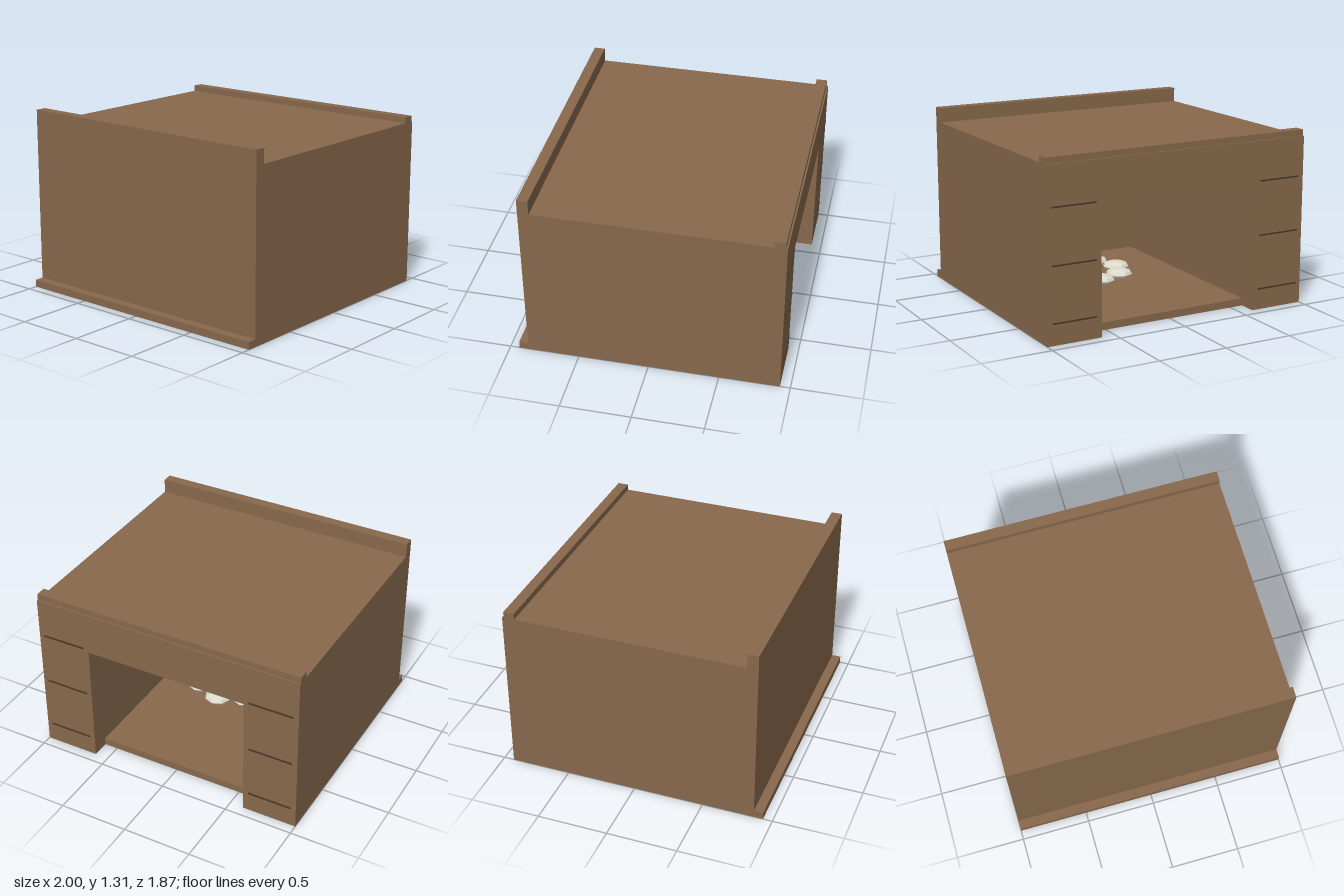
import * as THREE from 'three';

export function createModel() {
  const model = new THREE.Group();
  model.name = 'shelter';

  const mat = (name, color) => {
    const m = new THREE.MeshStandardMaterial({ color });
    m.name = name;
    return m;
  };
  const brown = mat('brown', 0x87684b);
  const darkBrown = mat('dark brown', 0x4a3828);
  const paleStone = mat('pale stone', 0xdcdacb);
  paleStone.flatShading = true;

  // Box given by its extents on each axis
  const block = (name, [x0, x1], [y0, y1], [z0, z1], material = brown) => {
    const mesh = new THREE.Mesh(new THREE.BoxGeometry(x1 - x0, y1 - y0, z1 - z0), material);
    mesh.position.set((x0 + x1) / 2, (y0 + y1) / 2, (z0 + z1) / 2);
    mesh.name = name;
    model.add(mesh);
  };

  const back = -0.927, front = 0.79, inner = 0.6, roofY = 1.203;

  // Thick shell around a chamber that opens to the back
  block('leftWall', [inner, 1], [0, roofY], [back, front]);
  block('rightWall', [-1, -inner], [0, roofY], [back, front]);
  block('roof', [-inner, inner], [0.9, roofY], [back, front]);
  block('floor', [-inner, inner], [0, 0.053], [-0.8, front]);

  // Front wall with raised parapet, step at its foot, and back coping
  block('frontWall', [-1, 1], [0, 1.307], [front, 0.868]);
  block('frontStep', [-1, 1], [0, 0.053], [0.868, 0.934]);
  block('backCoping', [-1, 1], [roofY, 1.247], [-0.915, -0.838]);

  // Thin joint lines on the posts beside the opening
  for (const side of [-1, 1]) {
    for (const y of [0.15, 0.537, 0.923]) {
      const xs = [0.64 * side, 0.96 * side].sort((a, b) => a - b);
      block('postJoint', xs, [y - 0.005, y + 0.005], [back - 0.007, back], darkBrown);
    }
  }

  // Ring of flattened stones on the floor
  const ring = new THREE.Group();
  ring.name = 'stoneRing';
  ring.position.set(0.1, 0.09, 0.26);
  const stoneGeometry = new THREE.SphereGeometry(0.1, 8, 6);
  stoneGeometry.scale(1, 0.38, 1);
  for (let i = 0; i < 8; i++) {
    const a = (i / 8) * Math.PI * 2;
    const stone = new THREE.Mesh(stoneGeometry, paleStone);
    stone.name = 'stone';
    stone.position.set(Math.cos(a) * 0.27, 0, Math.sin(a) * 0.27);
    stone.rotation.y = -a;
    ring.add(stone);
  }
  model.add(ring);

  return model;
}
